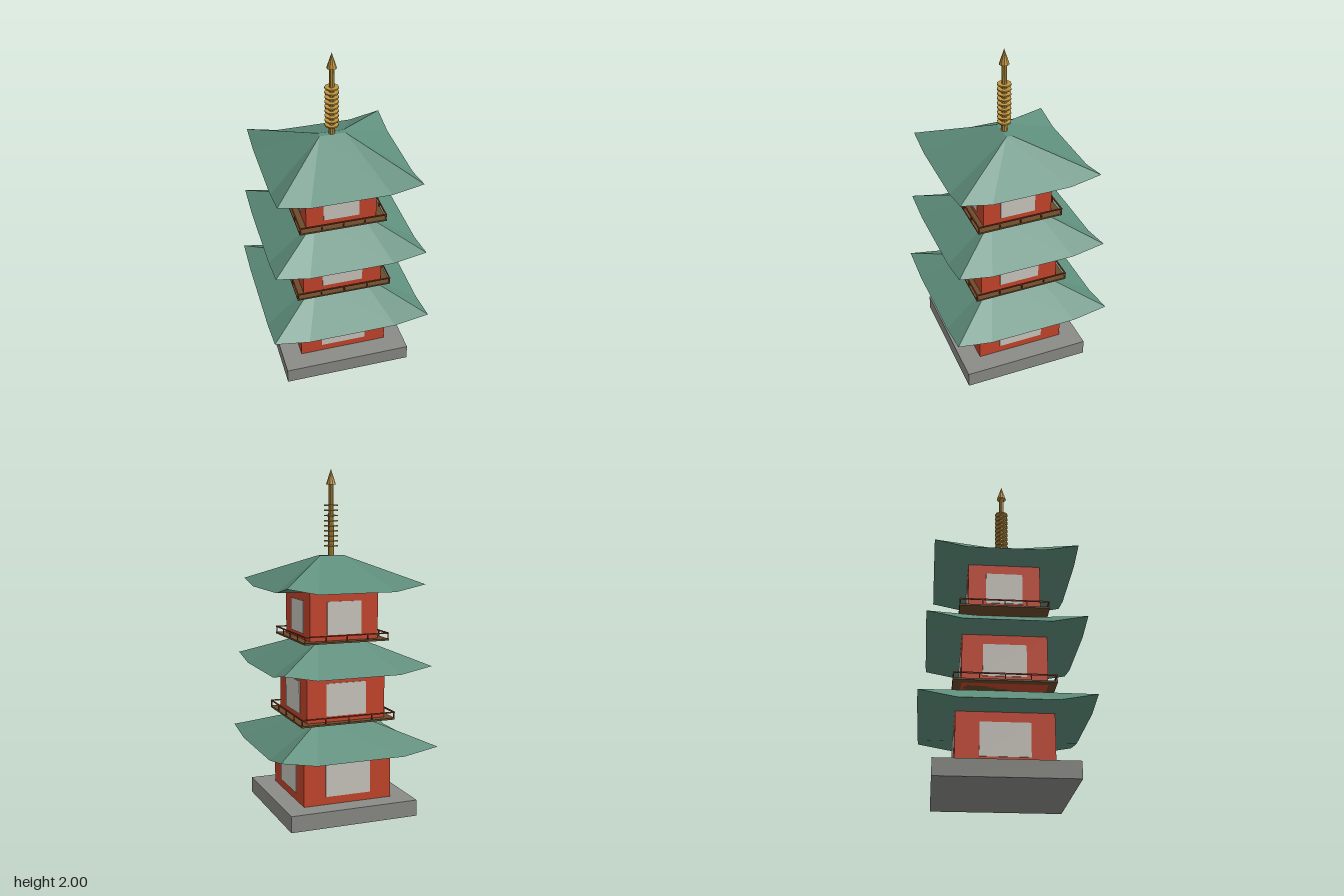
import * as THREE from 'three';

const material = (name, color, extra = {}) => {
  const m = new THREE.MeshStandardMaterial({ color, ...extra });
  m.name = name;
  return m;
};

export function createModel() {
  const stone = material('stone grey', 0x8b8c87);
  const red = material('wall red', 0xc8462c);
  const paper = material('panel off-white', 0xcdc9c1);
  const green = material('roof green', 0x5f8f7d, { flatShading: true });
  const wood = material('floor brown', 0x6b4a2a);
  const railRed = material('rail dark red', 0x8a3320);
  const gold = material('spire gold', 0xc1953f, { flatShading: true });

  const model = new THREE.Group();
  model.name = 'pagoda';

  const add = (parent, name, geometry, mat, x = 0, y = 0, z = 0) => {
    const mesh = new THREE.Mesh(geometry, mat);
    mesh.name = name;
    mesh.position.set(x, y, z);
    parent.add(mesh);
    return mesh;
  };
  const box = (parent, name, w, h, d, mat, x, y, z) =>
    add(parent, name, new THREE.BoxGeometry(w, h, d), mat, x, y, z);

  // Calls build with a group turned to each of the four sides
  const fourSides = (parent, name, build) => {
    for (let k = 0; k < 4; k++) {
      const side = new THREE.Group();
      side.name = name;
      side.rotation.y = k * Math.PI / 2;
      build(side);
      parent.add(side);
    }
  };

  // Hipped roof: eaves flat in the middle and lifted at the corners
  const roofGeometry = ({ half, eave, lift, top, ridgeX, ridgeZ, inner }) => {
    const corners = [[-1, 1], [1, 1], [1, -1], [-1, -1]];
    const v = [];
    const tri = (...points) => points.forEach(p => v.push(...p));
    corners.forEach(([ax, az], k) => {
      const [bx, bz] = corners[(k + 1) % 4];
      const onEave = (t, y) => [half * (ax + (bx - ax) * t), y, half * (az + (bz - az) * t)];
      const e = [onEave(0, eave + lift), onEave(0.22, eave), onEave(0.78, eave), onEave(1, eave + lift)];
      const a = [ax * ridgeX, top, az * ridgeZ], b = [bx * ridgeX, top, bz * ridgeZ];
      const c = [ax * inner, eave - 0.005, az * inner], d = [bx * inner, eave - 0.005, bz * inner];
      // Tiled slope
      tri(e[0], e[1], a); tri(e[1], e[2], a); tri(e[2], b, a); tri(e[2], e[3], b);
      // Underside
      tri(e[1], e[0], c); tri(e[2], e[1], c); tri(e[2], c, d); tri(e[3], e[2], d);
      // Ridge cap
      tri(a, b, [0, top, 0]);
    });
    const g = new THREE.BufferGeometry();
    g.setAttribute('position', new THREE.Float32BufferAttribute(v, 3));
    g.computeVertexNormals();
    return g;
  };

  // Stone base
  box(model, 'base', 0.77, 0.095, 0.77, stone, 0, 0.0475, 0);

  const tiers = [
    { y: 0.095, wall: 0.268, panel: 0.138, half: 0.47, eave: 0.392, top: 0.562, ridgeX: 0.13, ridgeZ: 0.13 },
    { y: 0.562, wall: 0.239, panel: 0.122, half: 0.44, eave: 0.856, top: 1.024, ridgeX: 0.13, ridgeZ: 0.13, deck: 0.286 },
    { y: 1.024, wall: 0.208, panel: 0.105, half: 0.409, eave: 1.318, top: 1.505, ridgeX: 0.075, ridgeZ: 0.017, deck: 0.257 },
  ];

  tiers.forEach((t, i) => {
    const tier = new THREE.Group();
    tier.name = `tier${i + 1}`;
    model.add(tier);

    // Walls with a pale panel on each side
    const wallTop = t.eave - 0.004, h = wallTop - t.y;
    box(tier, 'walls', 2 * t.wall, h, 2 * t.wall, red, 0, t.y + h / 2, 0);
    fourSides(tier, 'panelSide', side =>
      box(side, 'panel', 2 * t.panel, 0.19, 0.008, paper, 0, t.eave - 0.156, t.wall));

    // Roof
    add(tier, 'roof', roofGeometry({ ...t, lift: 0.037, inner: t.wall - 0.01 }), green);

    // Balcony floor and railing
    if (t.deck) {
      box(tier, 'balconyFloor', 2 * t.deck, 0.01, 2 * t.deck, wood, 0, t.y + 0.005, 0);
      const r = t.deck - 0.004;
      fourSides(tier, 'railing', side => {
        box(side, 'handrail', 2 * t.deck, 0.007, 0.007, railRed, 0, t.y + 0.043, r);
        for (let p = 0; p < 4; p++)
          box(side, 'railPost', 0.006, 0.035, 0.006, railRed, -r + p * r / 2, t.y + 0.0255, r);
      });
    }
  });

  // Spire with stacked rings and a pointed tip
  const spire = new THREE.Group();
  spire.name = 'spire';
  model.add(spire);
  add(spire, 'pole', new THREE.CylinderGeometry(0.014, 0.018, 0.42, 10), gold, 0, 1.705, 0);
  for (let i = 0; i < 9; i++)
    add(spire, 'ring', new THREE.CylinderGeometry(0.04, 0.04, 0.008, 10), gold, 0, 1.56 + i * 0.029, 0);
  add(spire, 'tip', new THREE.ConeGeometry(0.029, 0.09, 10), gold, 0, 1.955, 0);

  return model;
}
